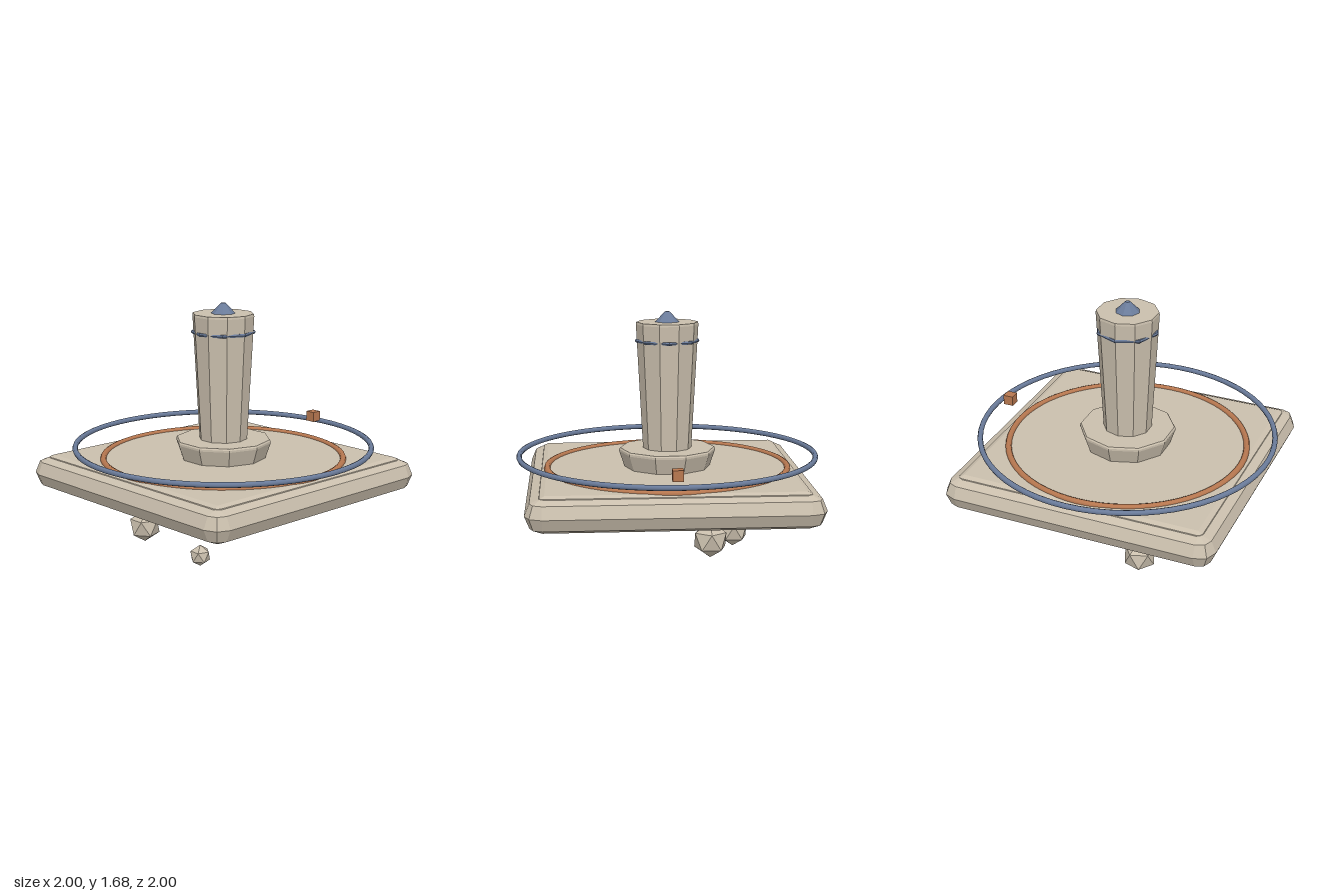
import * as THREE from 'three';
import { ConvexGeometry } from 'three/addons/geometries/ConvexGeometry.js';

export function createModel() {
  const model = new THREE.Group();
  model.name = 'floatingShrine';

  const material = (name, color, flatShading) => {
    const m = new THREE.MeshStandardMaterial({ color, flatShading });
    m.name = name;
    return m;
  };
  const stone = material('stone', 0xcabfad, true);
  const copper = material('copper', 0xb87850, false);
  const blue = material('slateBlue', 0x6b7c9b, false);

  const add = (name, geometry, mat, x = 0, y = 0, z = 0) => {
    const mesh = new THREE.Mesh(geometry, mat);
    mesh.name = name;
    mesh.position.set(x, y, z);
    model.add(mesh);
    return mesh;
  };

  // Square slab with faceted rounded edges: hull of coarse spheres at its corners
  const roundedSlab = (half, bottom, top, r) => {
    const sphere = new THREE.SphereGeometry(r, 8, 4).getAttribute('position');
    const points = [];
    for (const sx of [-1, 1])
      for (const sz of [-1, 1])
        for (const cy of new Set([bottom + r, top - r]))
          for (let i = 0; i < sphere.count; i++)
            points.push(new THREE.Vector3().fromBufferAttribute(sphere, i)
              .add(new THREE.Vector3(sx * (half - r), cy, sz * (half - r))));
    return new ConvexGeometry(points);
  };

  // Faceted turned solid from [radius, height] pairs
  const turned = (profile, sides) => new THREE.LatheGeometry(
    profile.map(([r, y]) => new THREE.Vector2(r, y)), sides).toNonIndexed();
  const facet = (g) => { g.computeVertexNormals(); return g; };

  const ring = (radius, tube, radial, tubular) =>
    new THREE.TorusGeometry(radius, tube, radial, tubular).rotateX(Math.PI / 2);

  // Floating platform in two tiers
  add('platform', roundedSlab(0.925, 0.42, 0.64, 0.11), stone);
  add('platformTop', roundedSlab(0.847, 0.55, 0.65, 0.045), stone);

  // Ten-sided pedestal and column, wider at the top
  add('pedestal', turned([[0, 0.64], [0.282, 0.64], [0.32, 0.752], [0.32, 0.765],
    [0.313, 0.775], [0, 0.775]], 10), stone);
  add('column', turned([[0, 0.7], [0.157, 0.7], [0.205, 1.595], [0.202, 1.61], [0, 1.61]], 10), stone);

  // Column trim and finial
  add('collar', facet(ring(0.2, 0.012, 6, 8).toNonIndexed()), blue, 0, 1.487, 0);
  add('finial', facet(turned([[0, 1.605], [0.085, 1.605], [0.015, 1.677], [0, 1.68]], 8)), blue);

  // Inlaid ring, hovering ring and its marker
  add('inlaidRing', ring(0.798, 0.021, 8, 64), copper, 0, 0.648, 0);
  add('hoveringRing', ring(0.982, 0.018, 8, 64), blue, 0, 0.73, 0);
  add('ringMarker', new THREE.BoxGeometry(0.068, 0.068, 0.068), copper, 0.88, 0.785, 0);

  // Loose rocks hanging below, each standing on a vertex
  const rocks = [
    [-0.53, 0.165, 0.35, 0.069],
    [-0.29, 0.113, -0.48, 0.112],
    [0.28, 0.21, -0.262, 0.12],
  ];
  for (const [x, y, z, r] of rocks) {
    const rock = add('rock', new THREE.IcosahedronGeometry(r, 0), stone, x, y, z);
    rock.rotation.z = -0.5536;
  }

  return model;
}
